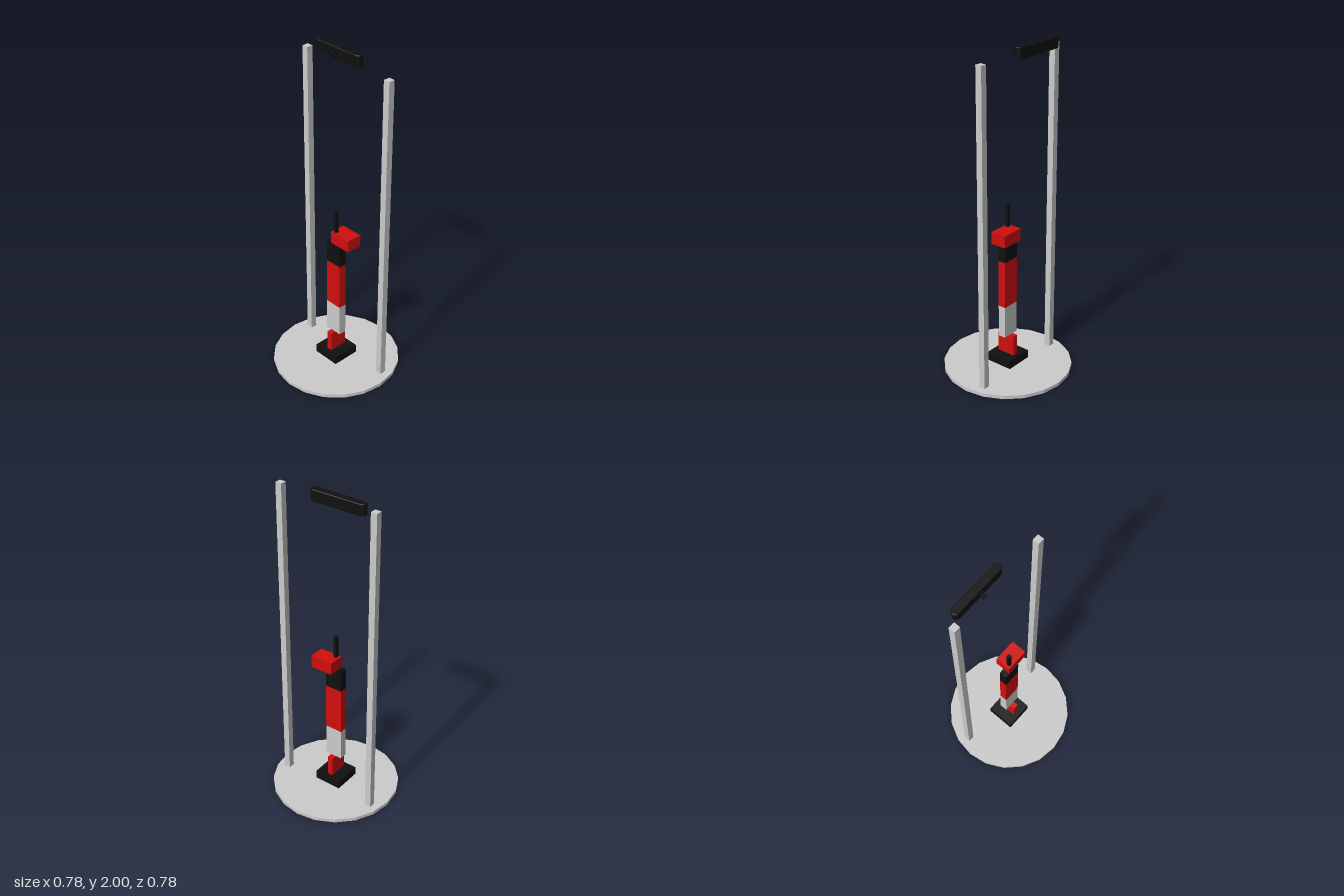
import * as THREE from 'three';

const GREY = new THREE.MeshStandardMaterial({ color: 0xcccccc, flatShading: true });
const RED = new THREE.MeshStandardMaterial({ color: 0xd20e0e, flatShading: true });
const BLACK = new THREE.MeshStandardMaterial({ color: 0x101010, flatShading: true });

export function createModel() {
  const model = new THREE.Group();

  const add = (name, geometry, material) => {
    const mesh = new THREE.Mesh(geometry, material);
    mesh.name = name;
    model.add(mesh);
    return mesh;
  };
  // box given by its [min, max] range on each axis
  const box = (name, material, [x0, x1], [y0, y1], [z0, z1]) =>
    add(name, new THREE.BoxGeometry(x1 - x0, y1 - y0, z1 - z0), material)
      .position.set((x0 + x1) / 2, (y0 + y1) / 2, (z0 + z1) / 2);

  // twenty-sided floor disc
  add('baseDisc', new THREE.CylinderGeometry(0.388, 0.388, 0.022, 20), GREY).position.y = 0.011;

  // pair of tall posts
  for (const [name, z] of [['frontPost', 0.31], ['backPost', -0.31]])
    box(name, GREY, [0.058, 0.097], [0.022, 1.952], [z - 0.0195, z + 0.0195]);

  // stacked central column
  box('foot', BLACK, [-0.087, 0.087], [0.035, 0.086], [-0.087, 0.087]);
  box('lowerBlock', RED, [-0.058, 0.058], [0.086, 0.213], [-0.018, 0.018]);
  box('lowerColumn', GREY, [-0.024, 0.024], [0.213, 0.415], [-0.055, 0.055]);
  box('middleColumn', RED, [-0.024, 0.024], [0.415, 0.71], [-0.055, 0.055]);
  box('upperColumn', BLACK, [-0.024, 0.024], [0.71, 0.845], [-0.055, 0.055]);
  box('head', RED, [-0.02, 0.077], [0.845, 0.92], [-0.023, 0.12]);
  box('rod', BLACK, [-0.0095, 0.0095], [0.92, 1.06], [-0.0095, 0.0095]);

  // round-ended overhead bar, extruded upwards with a slight bevel
  const bevel = 0.003, r = 0.0235 - bevel, half = 0.174 - 0.0235;
  const outline = new THREE.Shape();
  outline.absarc(0, half, r, 0, Math.PI);
  outline.absarc(0, -half, r, Math.PI, Math.PI * 2);
  const barGeometry = new THREE.ExtrudeGeometry(outline, {
    depth: 0.067 - 2 * bevel, bevelThickness: bevel, bevelSize: bevel,
    bevelSegments: 1, curveSegments: 12,
  });
  barGeometry.rotateX(-Math.PI / 2);
  add('overheadBar', barGeometry, BLACK).position.set(0.116, 1.933 + bevel, -0.104);

  // two pierced mounting lugs on the side of the bar
  const lug = new THREE.Shape();
  lug.moveTo(0.025, 0.014);
  lug.lineTo(0, 0.014);
  lug.absarc(0, 0, 0.014, Math.PI / 2, Math.PI * 1.5);
  lug.lineTo(0.025, -0.014);
  const hole = new THREE.Path();
  hole.absarc(0, 0, 0.007, 0, Math.PI * 2, true);
  lug.holes.push(hole);
  const lugGeometry = new THREE.ExtrudeGeometry(lug, { depth: 0.006, bevelEnabled: false });
  for (const [name, z] of [['backLug', -0.109], ['frontLug', -0.091]])
    add(name, lugGeometry, BLACK).position.set(0.075, 1.966, z);

  return model;
}
